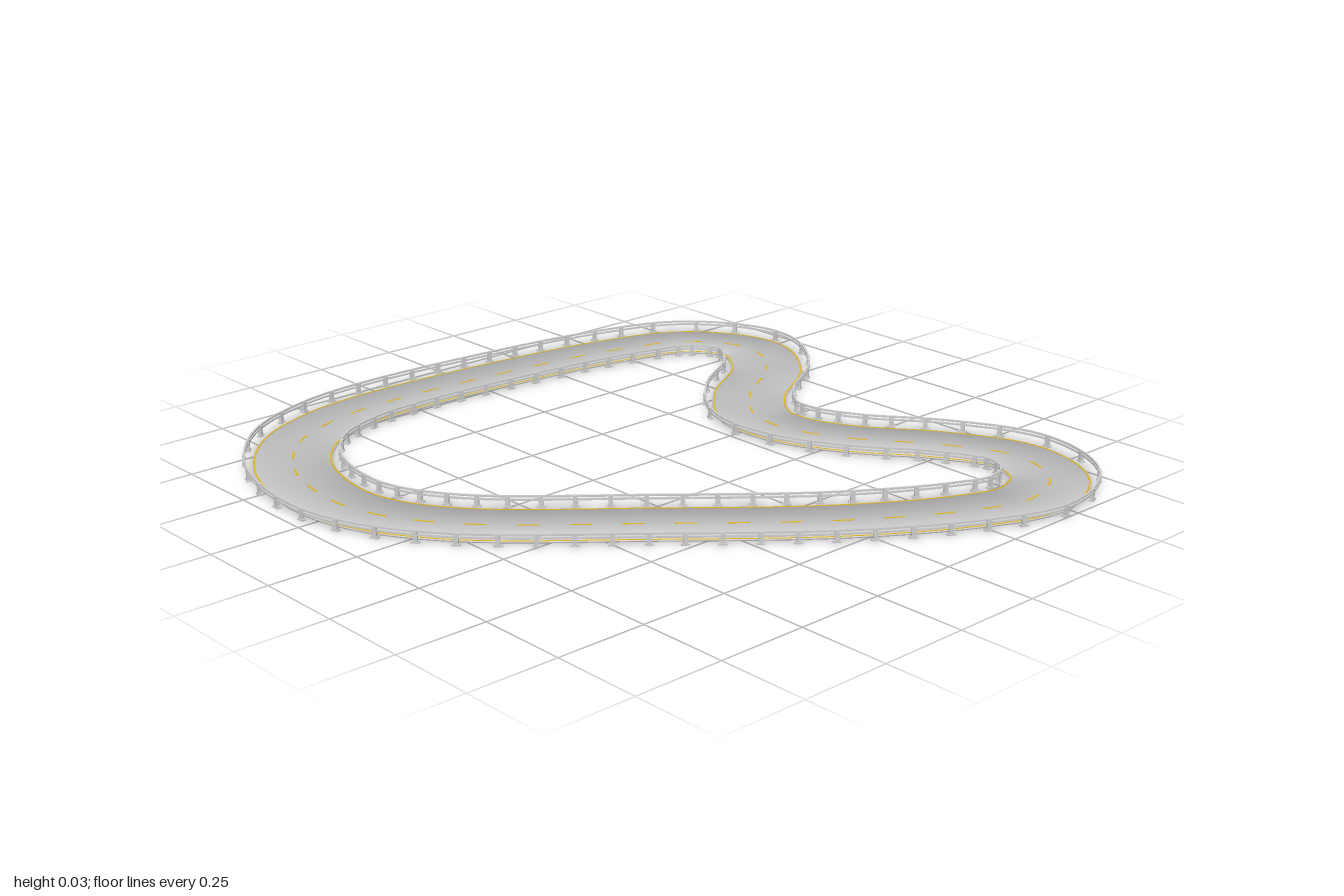
import * as THREE from 'three';
import { mergeGeometries } from 'three/addons/utils/BufferGeometryUtils.js';

// Centreline of the circuit (x, z), clockwise seen from above
const LINE = [
  [-0.29, -0.865], [0.13, -0.845], [0.53, -0.785], [0.745, -0.70], [0.84, -0.52], [0.735, -0.34],
  [0.53, -0.205], [0.41, -0.055], [0.405, 0.085], [0.475, 0.25], [0.62, 0.45], [0.70, 0.64],
  [0.64, 0.80], [0.48, 0.865], [0.305, 0.81], [0.03, 0.645], [-0.34, 0.335], [-0.695, 0.01],
  [-0.815, -0.19], [-0.84, -0.36], [-0.785, -0.59], [-0.65, -0.76], [-0.475, -0.84],
];
const curve = new THREE.CatmullRomCurve3(LINE.map(([x, z]) => new THREE.Vector3(x, 0, z)), true);
curve.arcLengthDivisions = 1000;

// Point and outward direction at a fraction u of the lap
function frame(u) {
  const w = ((u % 1) + 1) % 1;
  const p = curve.getPointAt(w);
  const t = curve.getTangentAt(w);
  return { p, n: new THREE.Vector3(t.z, 0, -t.x).normalize() };
}

// Sweep a counter-clockwise section of [offset, height] along the lap.
// With smooth set, corners share normals that point away from the section centre.
function sweep(section, u0, u1, steps, smooth = false) {
  const pos = [], nor = [], idx = [];
  const k = section.length;
  const put = (f, [o, y], [no, ny]) => {
    pos.push(f.p.x + f.n.x * o, y, f.p.z + f.n.z * o);
    nor.push(f.n.x * no, ny, f.n.z * no);
  };
  const cy = section.reduce((s, q) => s + q[1], 0) / k;
  const co = section.reduce((s, q) => s + q[0], 0) / k;
  const corner = ([o, y]) => [Math.sign(o - co) * 0.7, Math.sign(y - cy) * 0.714];
  for (let i = 0; i <= steps; i++) {
    const f = frame(u0 + (u1 - u0) * i / steps);
    section.forEach((a, j) => {
      const b = section[(j + 1) % k];
      const len = Math.hypot(b[0] - a[0], b[1] - a[1]);
      const flat = [(b[1] - a[1]) / len, -(b[0] - a[0]) / len];
      put(f, a, smooth ? corner(a) : flat);
      put(f, b, smooth ? corner(b) : flat);
      if (i < steps) {
        const v = (i * k + j) * 2, w = v + 2 * k;
        idx.push(v, v + 1, w + 1, v, w + 1, w);
      }
    });
  }
  const g = new THREE.BufferGeometry();
  g.setAttribute('position', new THREE.Float32BufferAttribute(pos, 3));
  g.setAttribute('normal', new THREE.Float32BufferAttribute(nor, 3));
  g.setIndex(idx);
  return g;
}

// Rectangular section centred on an offset
const rect = (o, w, y0, y1) => [[o - w / 2, y0], [o + w / 2, y0], [o + w / 2, y1], [o - w / 2, y1]];

export function createModel() {
  const group = new THREE.Group();
  const grey = new THREE.MeshStandardMaterial({ color: 0xcccccc });
  const yellow = new THREE.MeshStandardMaterial({ color: 0xe0b41c });
  const add = (name, geometry, material) => {
    const mesh = new THREE.Mesh(geometry, material);
    mesh.name = name;
    group.add(mesh);
  };
  const STEPS = 360;
  const ROAD_TOP = 0.004;

  // Road slab with softly shaded edges
  add('road', sweep(rect(0, 0.214, 0, ROAD_TOP), 0, 1, STEPS, true), grey);

  // Dashed centre line
  const DASHES = 44;
  const dashes = [];
  for (let i = 0; i < DASHES; i++) {
    dashes.push(sweep(rect(0, 0.005, ROAD_TOP - 0.001, ROAD_TOP + 0.001), i / DASHES, (i + 0.42) / DASHES, 4));
  }
  add('centreDashes', mergeGeometries(dashes), yellow);

  for (const [side, s] of [['outer', 1], ['inner', -1]]) {
    // Painted line along the road edge
    add(side + 'EdgeLine', sweep(rect(s * 0.102, 0.004, ROAD_TOP - 0.001, ROAD_TOP + 0.001), 0, 1, STEPS), yellow);

    // Two-bar guard rail
    const bars = [0.019, 0.028].map((y) => sweep(rect(s * 0.127, 0.005, y, y + 0.005), 0, 1, STEPS));
    add(side + 'GuardRail', mergeGeometries(bars), grey);

    // Posts with small feet
    const POSTS = 64;
    const posts = [];
    for (let i = 0; i < POSTS; i++) {
      const { p, n } = frame(i / POSTS);
      const at = p.clone().addScaledVector(n, s * 0.127);
      const turn = Math.atan2(n.x, n.z);
      for (const [w, h, d, y] of [[0.012, 0.032, 0.009, 0.016], [0.022, 0.004, 0.013, 0.002]]) {
        posts.push(new THREE.BoxGeometry(w, h, d).rotateY(turn).translate(at.x, y, at.z));
      }
    }
    add(side + 'RailPosts', mergeGeometries(posts), grey);
  }
  return group;
}
